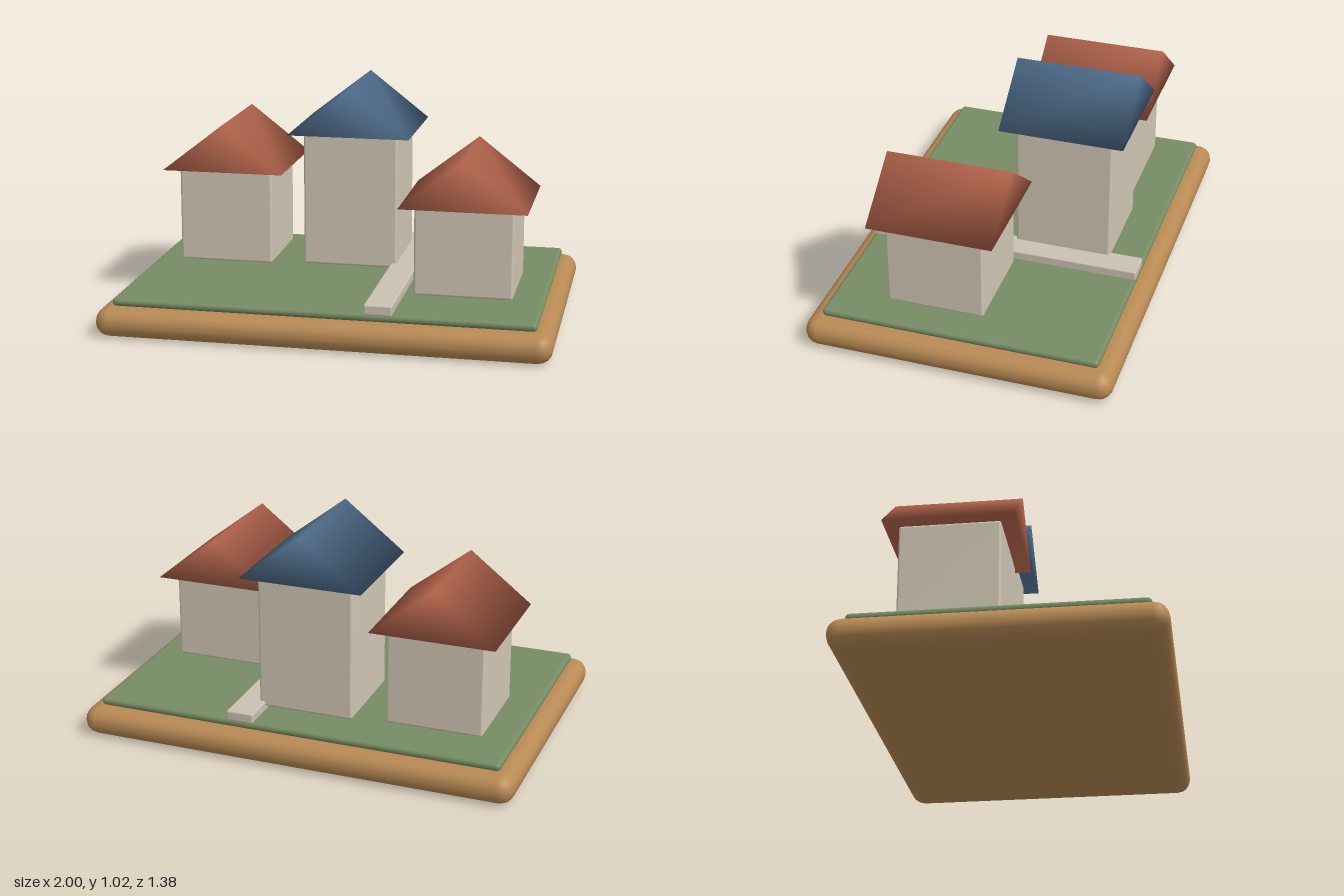
import * as THREE from 'three';
import { RoundedBoxGeometry } from 'three/addons/geometries/RoundedBoxGeometry.js';

const material = (name, color) => {
  const m = new THREE.MeshStandardMaterial({ color });
  m.name = name;
  return m;
};

// Rounded box given by its centre in plan and its bottom and top heights
function slab(name, mat, [w, d], [y0, y1], [x, z], radius, segments = 2) {
  const mesh = new THREE.Mesh(new RoundedBoxGeometry(w, y1 - y0, d, segments, radius), mat);
  mesh.position.set(x, (y0 + y1) / 2, z);
  mesh.name = name;
  return mesh;
}

// Triangular prism with its ridge along z; shared corners give soft normals
function gableRoof(mat, size, height) {
  const s = size / 2;
  const corners = [s, -s].flatMap((z) => [-s, 0, z, s, 0, z, 0, height, z]);
  const geometry = new THREE.BufferGeometry();
  geometry.setAttribute('position', new THREE.Float32BufferAttribute(corners, 3));
  geometry.setIndex([
    0, 1, 2, 4, 3, 5, // gables
    0, 2, 5, 0, 5, 3, // left slope
    1, 4, 5, 1, 5, 2, // right slope
    0, 3, 4, 0, 4, 1, // underside
  ]);
  geometry.computeVertexNormals();
  const mesh = new THREE.Mesh(geometry, mat);
  mesh.name = 'roof';
  return mesh;
}

export function createModel() {
  const wood = material('wood', 0xb98a54);
  const grass = material('grass', 0x768c64);
  const wall = material('wall', 0xd0c7b4);
  const stone = material('path stone', 0xcbc1b1);
  const redTile = material('red tile', 0xb0624a);
  const blueTile = material('blue tile', 0x4e6b8a);

  const model = new THREE.Group();
  model.name = 'villageBoard';

  // Board, lawn and path
  model.add(
    slab('board', wood, [2, 1.38], [0, 0.13], [0, 0], 0.064),
    slab('lawn', grass, [1.86, 1.24], [0.13, 0.167], [0, 0], 0.018),
    slab('path', stone, [0.124, 1.24], [0.16, 0.207], [0.252, 0], 0.008),
  );

  // Houses: name, x, z, eaves height, roof colour
  const houses = [
    ['leftHouse', 0.58, 0.145, 0.582, redTile],
    ['middleHouse', 0, -0.255, 0.8, blueTile],
    ['rightHouse', -0.58, -0.22, 0.62, redTile],
  ];
  for (const [name, x, z, eaves, tile] of houses) {
    const house = new THREE.Group();
    house.name = name;
    const roof = gableRoof(tile, 0.56, 0.218);
    roof.position.y = eaves;
    house.add(slab('walls', wall, [0.435, 0.435], [0.184, eaves], [0, 0], 0.011), roof);
    house.position.set(x, 0, z);
    model.add(house);
  }
  return model;
}
